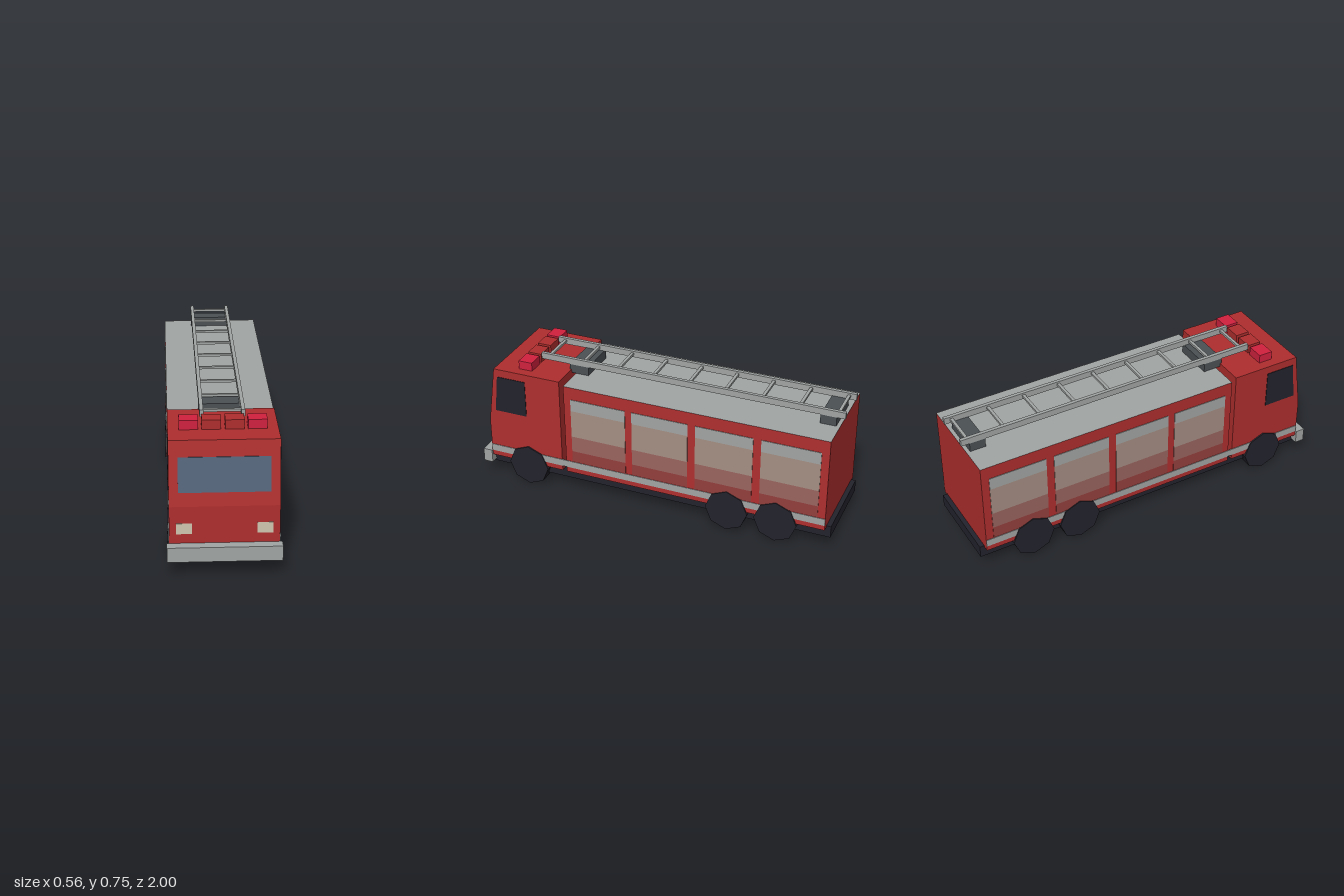
import * as THREE from 'three';

const mat = (name, color) => new THREE.MeshStandardMaterial({ name, color, flatShading: true });

export function createModel() {
  const red = mat('bodyRed', 0xb02e2e);
  const silver = mat('silver', 0xa2a6a5);
  const black = mat('rubberBlack', 0x23232d);
  const iron = mat('mountGrey', 0x4c5155);
  const beaconRed = mat('beaconRed', 0xd3213f);
  const glass = mat('windscreenBlue', 0x53657b);
  const cream = mat('lampCream', 0xd2c7b0);
  const tan = mat('shutterTan', 0xa68f84);
  const rose = mat('shutterRose', 0x9b6560);
  const darkRose = mat('shutterDarkRose', 0x943f3d);

  const truck = new THREE.Group();
  truck.name = 'fireTruck';

  const add = (name, geometry, material, parent = truck) => {
    const mesh = new THREE.Mesh(geometry, material);
    mesh.name = name;
    parent.add(mesh);
    return mesh;
  };
  // Box given by its limits on each axis
  const box = (name, material, [x0, x1], [y0, y1], [z0, z1], parent) => {
    const g = new THREE.BoxGeometry(x1 - x0, y1 - y0, z1 - z0);
    g.translate((x0 + x1) / 2, (y0 + y1) / 2, (z0 + z1) / 2);
    return add(name, g, material, parent);
  };
  // Side outline of [z, y] points, extruded from x0 to x1
  const prism = (name, material, points, x0, x1, parent) => {
    const shape = new THREE.Shape(points.map(([z, y]) => new THREE.Vector2(z, y)));
    const g = new THREE.ExtrudeGeometry(shape, { depth: x1 - x0, bevelEnabled: false });
    g.rotateY(-Math.PI / 2).translate(x1, 0, 0);
    return add(name, g, material, parent);
  };
  // Range on the left (+x) or right (-x) side
  const sided = (s, a, b) => (s > 0 ? [a, b] : [-b, -a]);
  const W = 0.267;

  // Cab with sloping front
  const slopeZ = (y) => 0.95 - ((y - 0.355) / 0.325) * 0.045;
  prism('cab', red, [[0.515, 0.13], [0.95, 0.13], [0.95, 0.355], [0.905, 0.68], [0.515, 0.68]], -W, W);
  prism('windscreen', glass, [
    [slopeZ(0.425) - 0.003, 0.425], [slopeZ(0.425) + 0.003, 0.425],
    [slopeZ(0.598) + 0.003, 0.598], [slopeZ(0.598) - 0.003, 0.598],
  ], -0.222, 0.222);
  box('bumper', silver, [-0.279, 0.279], [0.085, 0.162], [0.948, 1]);

  // Rear body with a silver roof face
  box('rearBody', [red, red, silver, red, red, red], [-W, W], [0.13, 0.66], [-0.975, 0.49]);

  // Chassis: open frame closed on top
  box('chassisFront', black, [-0.235, 0.235], [0.072, 0.139], [0.935, 0.965]);
  box('chassisRear', black, [-0.235, 0.235], [0.072, 0.139], [-1, -0.965]);
  const deck = new THREE.PlaneGeometry(0.46, 1.95).rotateX(-Math.PI / 2);
  deck.translate(0, 0.139, -0.0175);
  add('chassisDeck', deck, black);

  // Bands of each side shutter, from bottom to top
  const bands = [[0.205, 0.27, darkRose], [0.27, 0.362, rose], [0.362, 0.52, tan], [0.52, 0.588, silver]];
  const shutterStarts = [0.135, -0.218, -0.575, -0.933];

  for (const s of [1, -1]) {
    const side = new THREE.Group();
    side.name = s > 0 ? 'leftSide' : 'rightSide';
    truck.add(side);

    box('chassisRail', black, sided(s, 0.205, 0.235), [0.072, 0.139], [-0.97, 0.94], side);
    box('sideStripe', silver, sided(s, 0.264, 0.27), [0.16, 0.2], [-0.975, 0.948], side);
    box('headlight', cream, sided(s, 0.157, 0.234), [0.212, 0.268], [0.947, 0.953], side);
    prism('sideWindow', black, [[0.72, 0.425], [0.908, 0.425], [0.886, 0.635], [0.72, 0.635]],
      ...sided(s, 0.264, 0.27), side);

    for (const z of shutterStarts) {
      const shutter = new THREE.Group();
      shutter.name = 'shutter';
      side.add(shutter);
      for (const [y0, y1, m] of bands) {
        box('shutterBand', m, sided(s, 0.264, 0.27), [y0, y1], [z, z + 0.315], shutter);
      }
    }

    // Eight-sided wheels with a silver hub on the inner face
    for (const z of [0.72, -0.44, -0.71]) {
      const wheel = new THREE.Group();
      wheel.name = 'wheel';
      wheel.position.set(s * 0.235, 0.117, z);
      side.add(wheel);
      const tyre = new THREE.CylinderGeometry(0.117, 0.117, 0.08, 8).rotateZ(Math.PI / 2);
      add('tyre', tyre, black, wheel);
      const hub = new THREE.CylinderGeometry(0.068, 0.068, 0.01, 8).rotateZ(s * Math.PI / 2);
      hub.translate(-s * 0.044, 0, 0);
      add('hub', hub, [black, silver, silver], wheel);
    }

    // Roof lamps
    box('outerBeacon', beaconRed, sided(s, 0.12, 0.213), [0.68, 0.728], [0.7, 0.778], side);
    box('innerBeacon', red, sided(s, 0.01, 0.103), [0.68, 0.728], [0.7, 0.778], side);
  }

  // Roof ladder on two mounts
  const ladder = new THREE.Group();
  ladder.name = 'ladder';
  truck.add(ladder);
  for (const s of [1, -1]) {
    box('ladderRail', silver, sided(s, 0.092, 0.111), [0.71, 0.745], [-1, 0.692], ladder);
  }
  for (let i = 0; i < 9; i++) {
    const z = 0.65 - i * 0.2013;
    box('rung', silver, [-0.095, 0.095], [0.722, 0.735], [z - 0.008, z + 0.008], ladder);
  }
  box('frontMount', iron, [-0.11, 0.11], [0.66, 0.712], [0.415, 0.525], ladder);
  box('rearMount', iron, [-0.11, 0.11], [0.655, 0.712], [-0.955, -0.87], ladder);

  return truck;
}
